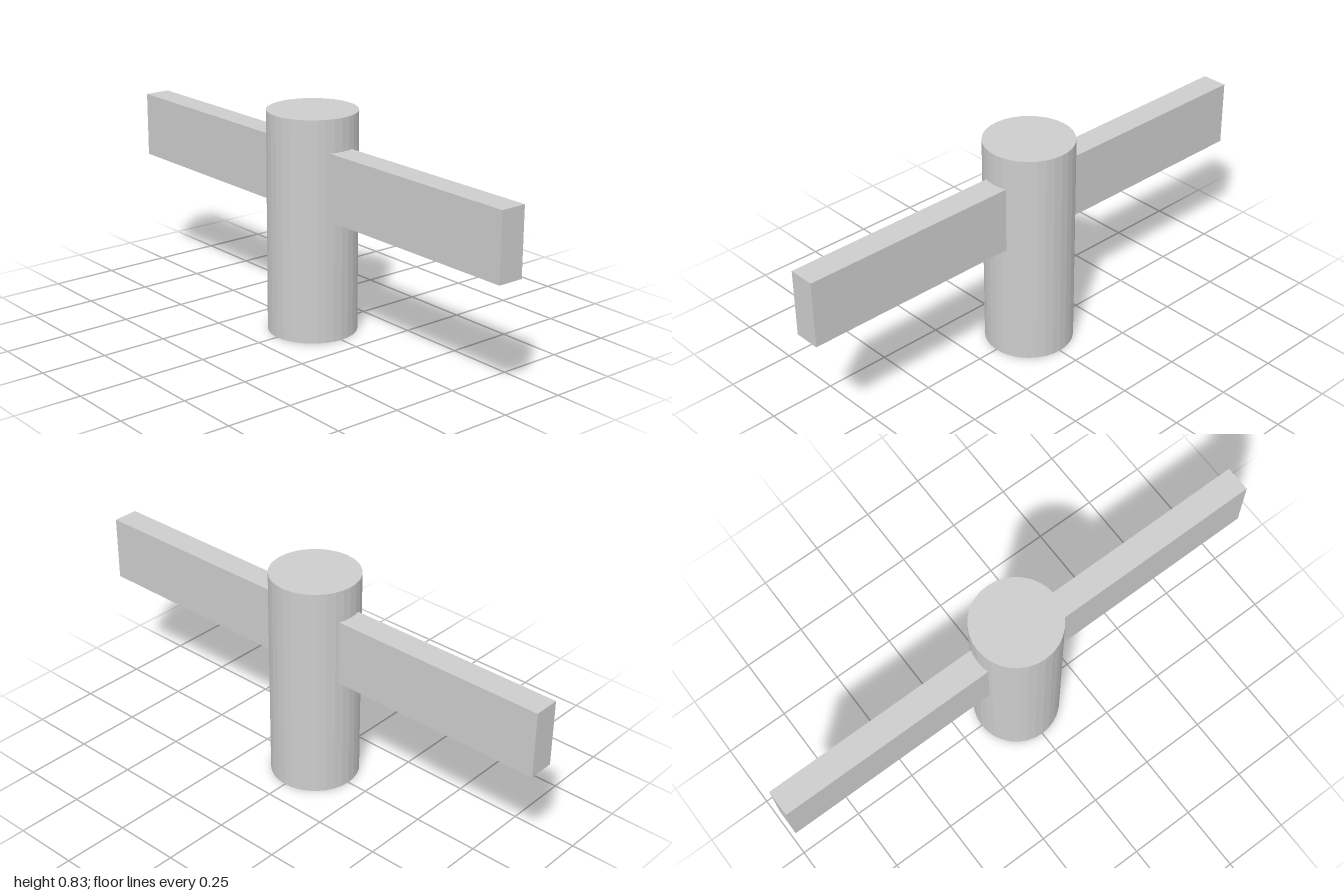
import * as THREE from 'three';

export function createModel() {
  const model = new THREE.Group();
  model.name = 'postWithArms';

  const grey = new THREE.MeshStandardMaterial({ color: 0xcccccc });
  grey.name = 'light grey';
  grey.flatShading = true;

  const radius = 0.1667;
  const height = 0.8333;

  // Upright faceted post
  const post = new THREE.Mesh(new THREE.CylinderGeometry(radius, radius, height, 32), grey);
  post.name = 'post';
  post.position.y = height / 2;
  model.add(post);

  // Flat arms, starting just inside the post and reaching out to each side
  const inner = 0.14;
  for (const [name, side] of [['leftArm', 1], ['rightArm', -1]]) {
    const arm = new THREE.Mesh(new THREE.BoxGeometry(1 - inner, 0.25, 0.1), grey);
    arm.name = name;
    arm.position.set(side * (1 + inner) / 2, 0.5855, 0);
    model.add(arm);
  }

  return model;
}
